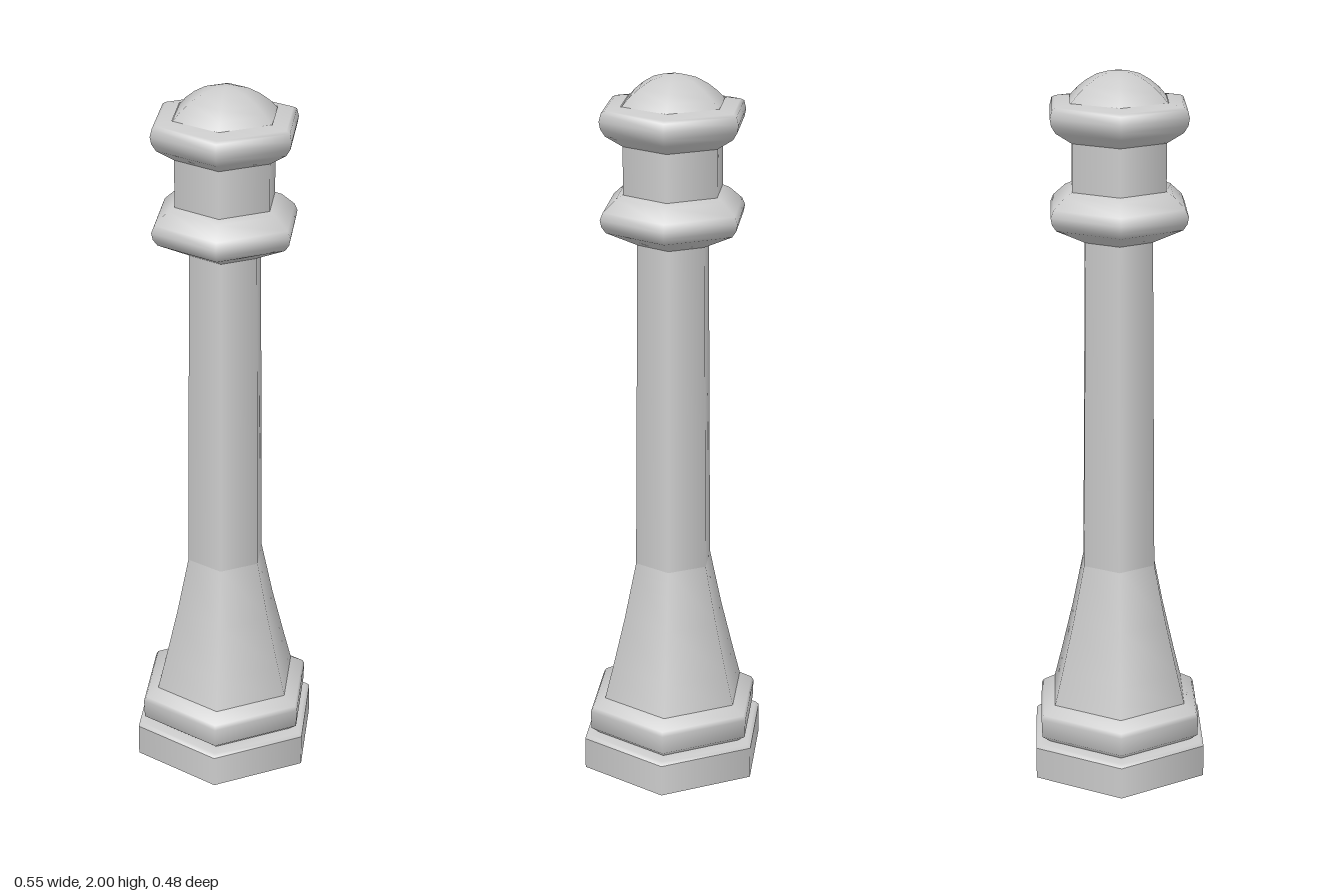
import * as THREE from 'three';

const material = new THREE.MeshStandardMaterial({ color: 0xcccccc, side: THREE.DoubleSide });

// Six-sided turned part with corners on the x axis; profile is [radius, height] from bottom to top
function turned(name, profile) {
  const points = profile.map(([r, y]) => new THREE.Vector2(r, y));
  const mesh = new THREE.Mesh(new THREE.LatheGeometry(points, 6, Math.PI / 2), material);
  mesh.name = name;
  return mesh;
}

export function createModel() {
  const group = new THREE.Group();
  group.name = 'hexagonalPost';

  group.add(
    // Hollow plinth, open underneath
    turned('plinthWall', [[0.275, 0], [0.275, 0.092]]),
    turned('plinthTop', [[0.275, 0.092], [0.264, 0.102], [0.23, 0.103]]),
    // Flared foot
    turned('footRim', [[0.23, 0.103], [0.255, 0.122], [0.257, 0.175], [0.25, 0.187], [0.212, 0.21]]),
    turned('footFlare', [[0.212, 0.21], [0.188, 0.3], [0.15, 0.45], [0.114, 0.615]]),
    // Long tapering shaft
    turned('shaft', [[0.114, 0.615], [0.105, 1.545]]),
    // Two rounded collars with the neck between them
    turned('lowerCollar', [
      [0.105, 1.545], [0.195, 1.588], [0.208, 1.606], [0.212, 1.625], [0.203, 1.645], [0.165, 1.678], [0.145, 1.687],
    ]),
    turned('neck', [[0.145, 1.687], [0.145, 1.818]]),
    turned('upperCollar', [
      [0.145, 1.818], [0.195, 1.85], [0.208, 1.87], [0.212, 1.89], [0.206, 1.912], [0.195, 1.918], [0.15, 1.925],
    ]),
    // Domed cap
    turned('cap', [[0.15, 1.922], [0.128, 1.945], [0.1, 1.967], [0.065, 1.987], [0.03, 1.997], [0, 2]]),
  );
  return group;
}
